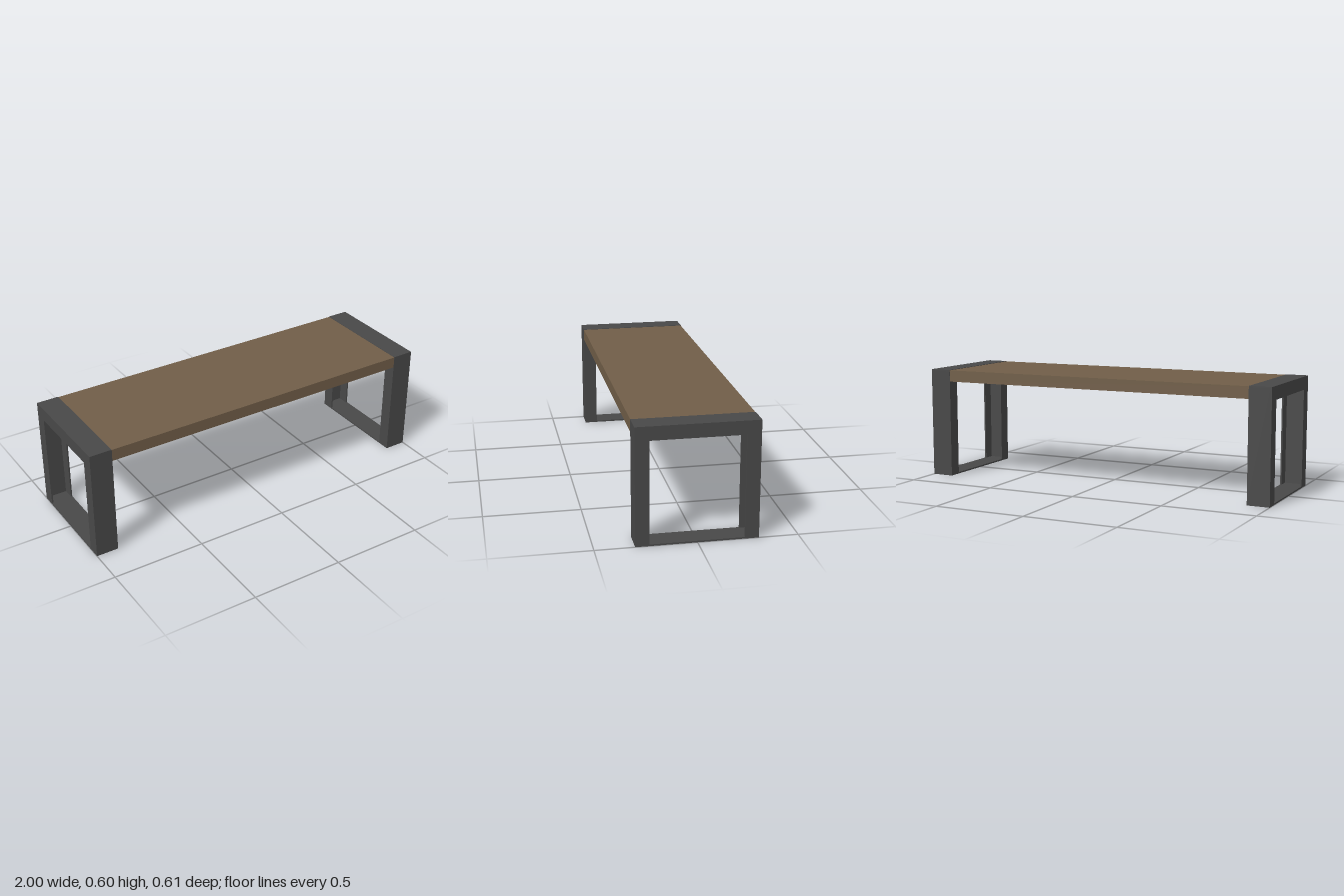
import * as THREE from 'three';

const T = 0.008;   // plate thickness of the steel channel
const D = 0.07;    // channel depth
const H = 0.6;     // height
const W = 0.303;   // half width in z
const X0 = 0.88, X1 = 1; // inner and outer side of each frame

export function createModel() {
  const steel = new THREE.MeshStandardMaterial({ color: 0x484848 });
  steel.name = 'dark steel';
  const wood = new THREE.MeshStandardMaterial({ color: 0x715e48 });
  wood.name = 'brown wood';

  const bench = new THREE.Group();
  bench.name = 'bench';

  // Box given by its lower and upper corners
  function box(parent, name, material, a, b) {
    const mesh = new THREE.Mesh(
      new THREE.BoxGeometry(b[0] - a[0], b[1] - a[1], b[2] - a[2]), material);
    mesh.position.set((a[0] + b[0]) / 2, (a[1] + b[1]) / 2, (a[2] + b[2]) / 2);
    mesh.name = name;
    parent.add(mesh);
  }

  // Seat board, its ends housed in the frame channels
  box(bench, 'seat', wood, [-0.96, 0.535, -W + 0.001], [0.96, H - 0.002, W - 0.001]);

  // Open channel frame, built for the +x end and turned round for the other
  function legFrame() {
    const frame = new THREE.Group();

    // Outer flange: upside-down U plate
    const shape = new THREE.Shape();
    [[-W, 0], [-W + D, 0], [-W + D, H - D], [W - D, H - D], [W - D, 0], [W, 0], [W, H], [-W, H]]
      .forEach(([z, y], i) => (i ? shape.lineTo(z, y) : shape.moveTo(z, y)));
    const flangeGeometry = new THREE.ExtrudeGeometry(shape, { depth: T, bevelEnabled: false });
    flangeGeometry.rotateY(Math.PI / 2);
    const flange = new THREE.Mesh(flangeGeometry, steel);
    flange.position.x = X1 - T;
    flange.name = 'outerFlange';
    frame.add(flange);

    // Webs and inner flanges of both posts
    for (const s of [-1, 1]) {
      const span = (p, q) => [Math.min(s * p, s * q), Math.max(s * p, s * q)];
      const web = span(W - T, W);
      box(frame, 'postWeb', steel, [X0, 0, web[0]], [X1 - T, H - T, web[1]]);
      const lip = span(W - D, W - T);
      box(frame, 'postInnerFlange', steel, [X0, 0, lip[0]], [X0 + T, 0.536, lip[1]]);
    }

    // Top plate and floor plate
    box(frame, 'topPlate', steel, [X0, H - T, -W], [X1 - T, H, W]);
    box(frame, 'floorPlate', steel, [X0 + T, 0, -W + T], [X1 - T, T, W - T]);
    box(frame, 'floorPlateInnerEdge', steel, [X0, 0, -W + D], [X0 + T, T, W - D]);
    box(frame, 'floorPlateOuterEdge', steel, [X1 - T, 0, -W + D], [X1, T, W - D]);
    return frame;
  }

  const left = legFrame();
  left.name = 'leftLegFrame';
  const right = legFrame();
  right.name = 'rightLegFrame';
  right.rotation.y = Math.PI;
  bench.add(left, right);

  return bench;
}
